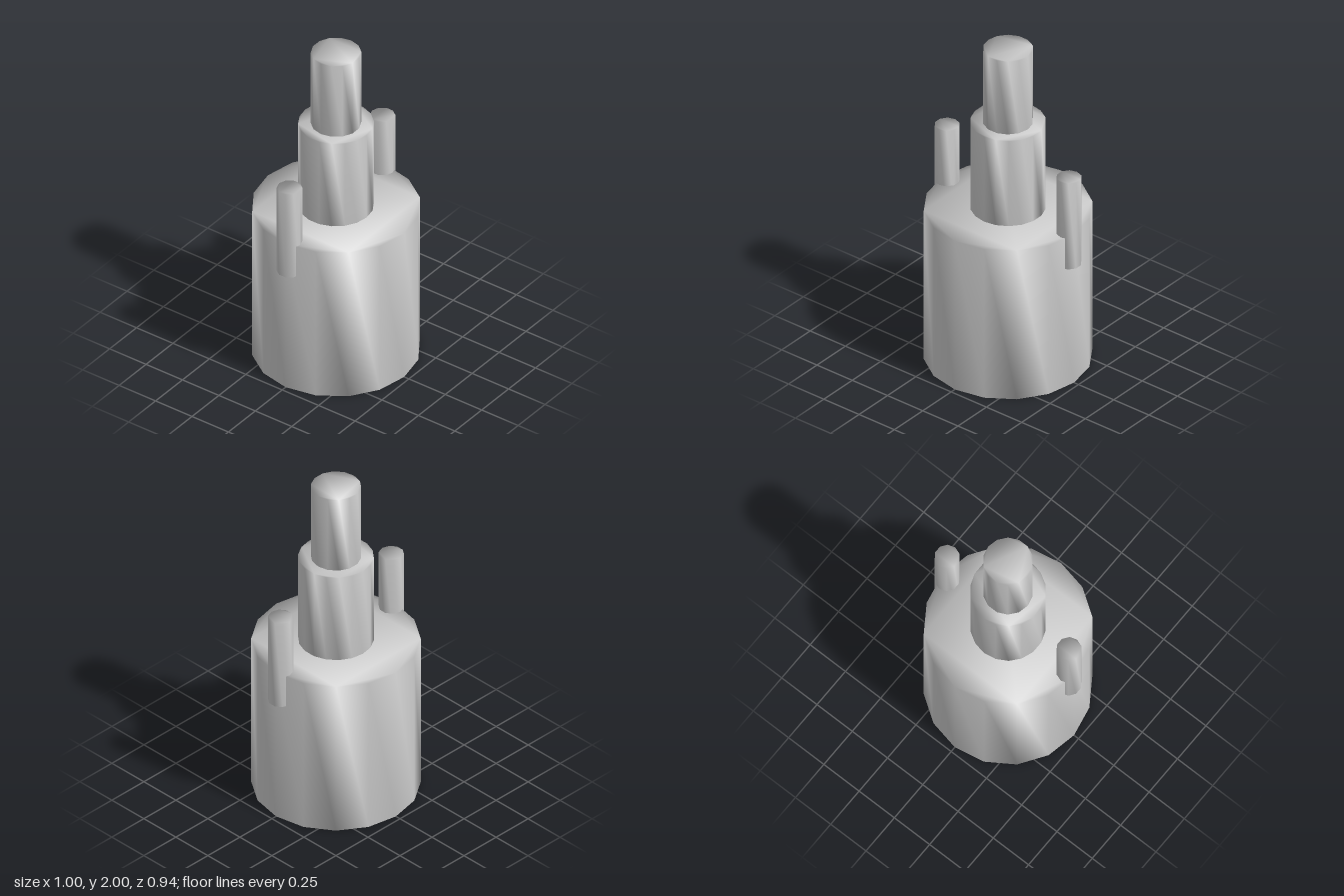
import * as THREE from 'three';
import { mergeVertices } from 'three/addons/utils/BufferGeometryUtils.js';

const material = new THREE.MeshStandardMaterial({ color: 0xcccccc });

// Upright low-poly cylinder with normals smoothed over its rims
function post(name, radius, sides, startAngle, bottom, top, x = 0) {
  const points = [];
  for (let i = 0; i < sides; i++) {
    const a = startAngle + (i / sides) * Math.PI * 2;
    points.push(new THREE.Vector2(Math.cos(a) * radius, Math.sin(a) * radius));
  }
  let geometry = new THREE.ExtrudeGeometry(new THREE.Shape(points), {
    depth: top - bottom,
    bevelEnabled: false,
  });
  geometry.rotateX(-Math.PI / 2);
  geometry.deleteAttribute('normal');
  geometry.deleteAttribute('uv');
  geometry = mergeVertices(geometry, 1e-4);
  geometry.computeVertexNormals();

  const mesh = new THREE.Mesh(geometry, material);
  mesh.name = name;
  mesh.position.set(x, bottom, 0);
  return mesh;
}

export function createModel() {
  const model = new THREE.Group();
  model.name = 'steppedTower';

  // Stacked central cylinders
  model.add(post('base', 0.468, 16, 0, 0, 0.97));
  model.add(post('middleTier', 0.21, 18, Math.PI / 2, 0.97, 1.525));
  model.add(post('topTier', 0.14, 14, 0, 1.525, 2));

  // Pins half sunk into the rim of the base
  for (const side of [1, -1]) {
    const name = side > 0 ? 'leftPin' : 'rightPin';
    model.add(post(name, 0.071, 10, Math.PI / 2, 0.77, 1.33, side * 0.432));
  }
  return model;
}
